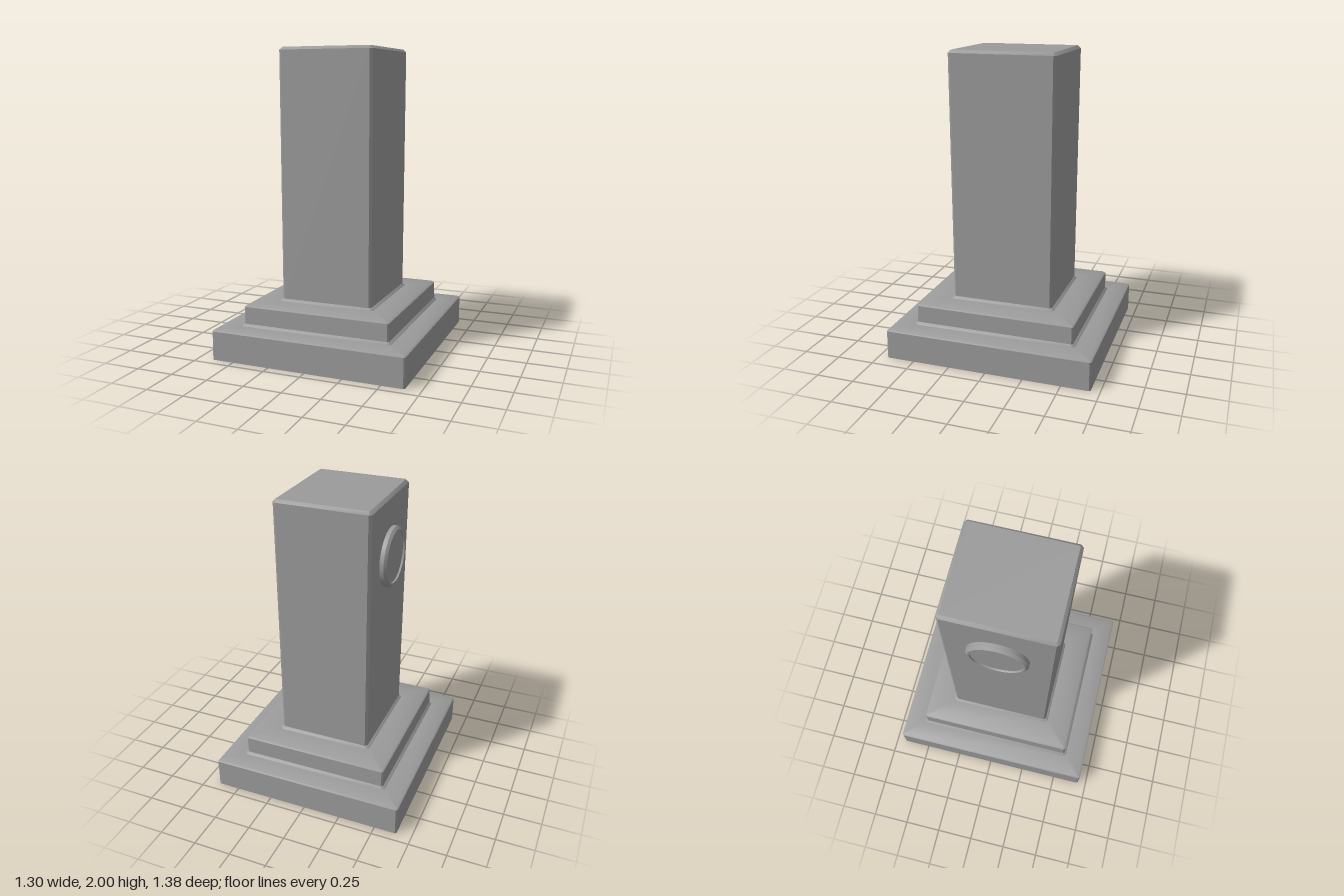
import * as THREE from 'three';
import { toCreasedNormals } from 'three/addons/utils/BufferGeometryUtils.js';

const material = new THREE.MeshStandardMaterial({ color: 0x9b9b9b });
const CREASE = 0.75; // just under 45 degrees, so clipped corners stay sharp

function addPart(group, name, geometry) {
  const mesh = new THREE.Mesh(toCreasedNormals(geometry, CREASE), material);
  mesh.name = name;
  group.add(mesh);
  return mesh;
}

// Skin stacked rectangles with clipped corners; each ring is [y, halfX, halfZ, clip]
function loftBlock(rings, { top = false, bottom = false } = {}) {
  const pos = [], index = [];
  for (const [y, x, z, c] of rings) {
    const a = x - c, b = z - c;
    for (const [px, pz] of [[x, b], [x, -b], [a, -z], [-a, -z], [-x, -b], [-x, b], [-a, z], [a, z]]) pos.push(px, y, pz);
  }
  for (let r = 0; r < rings.length - 1; r++) {
    for (let i = 0; i < 8; i++) {
      const j = (i + 1) % 8, lo = r * 8, hi = lo + 8;
      index.push(lo + i, lo + j, hi + j, lo + i, hi + j, hi + i);
    }
  }
  const last = (rings.length - 1) * 8;
  for (let i = 1; i < 7; i++) {
    if (bottom) index.push(0, i + 1, i);
    if (top) index.push(last, last + i, last + i + 1);
  }
  const geometry = new THREE.BufferGeometry();
  geometry.setAttribute('position', new THREE.Float32BufferAttribute(pos, 3));
  geometry.setIndex(index);
  return geometry;
}

export function createModel() {
  const group = new THREE.Group();
  group.name = 'pedestal';

  // Wide bottom step; its edge bevel blends softly into the top
  addPart(group, 'baseStep', loftBlock([
    [0, 0.65, 0.69, 0.01], [0.19, 0.65, 0.69, 0.01], [0.2, 0.638, 0.678, 0.01], [0.2, 0.513, 0.552, 0.02],
  ], { bottom: true }));

  // Second step, with a small flare where it meets the base
  addPart(group, 'upperStep', loftBlock([
    [0.2, 0.513, 0.552, 0.02], [0.215, 0.497, 0.536, 0.01], [0.328, 0.495, 0.535, 0.01],
    [0.338, 0.483, 0.523, 0.01], [0.338, 0.328, 0.36, 0.02],
  ]));

  // Square shaft, very slightly wider toward its bevelled top
  addPart(group, 'shaft', loftBlock([
    [0.338, 0.328, 0.36, 0.02], [0.353, 0.312, 0.344, 0.015],
    [1.981, 0.318, 0.353, 0.018], [2, 0.299, 0.334, 0.006],
  ], { top: true }));

  // Round plaque on the side of the shaft: bevelled rim, shallow sunken face
  const profile = [[0.195, 0], [0.195, 0.044], [0.18, 0.06], [0.168, 0.06], [0.165, 0.048], [0, 0.048]];
  const plaque = addPart(group, 'roundPlaque',
    new THREE.LatheGeometry(profile.map(([r, y]) => new THREE.Vector2(r, y)), 32));
  plaque.rotation.z = Math.PI / 2;
  plaque.position.set(-0.3, 1.6, 0);

  return group;
}
